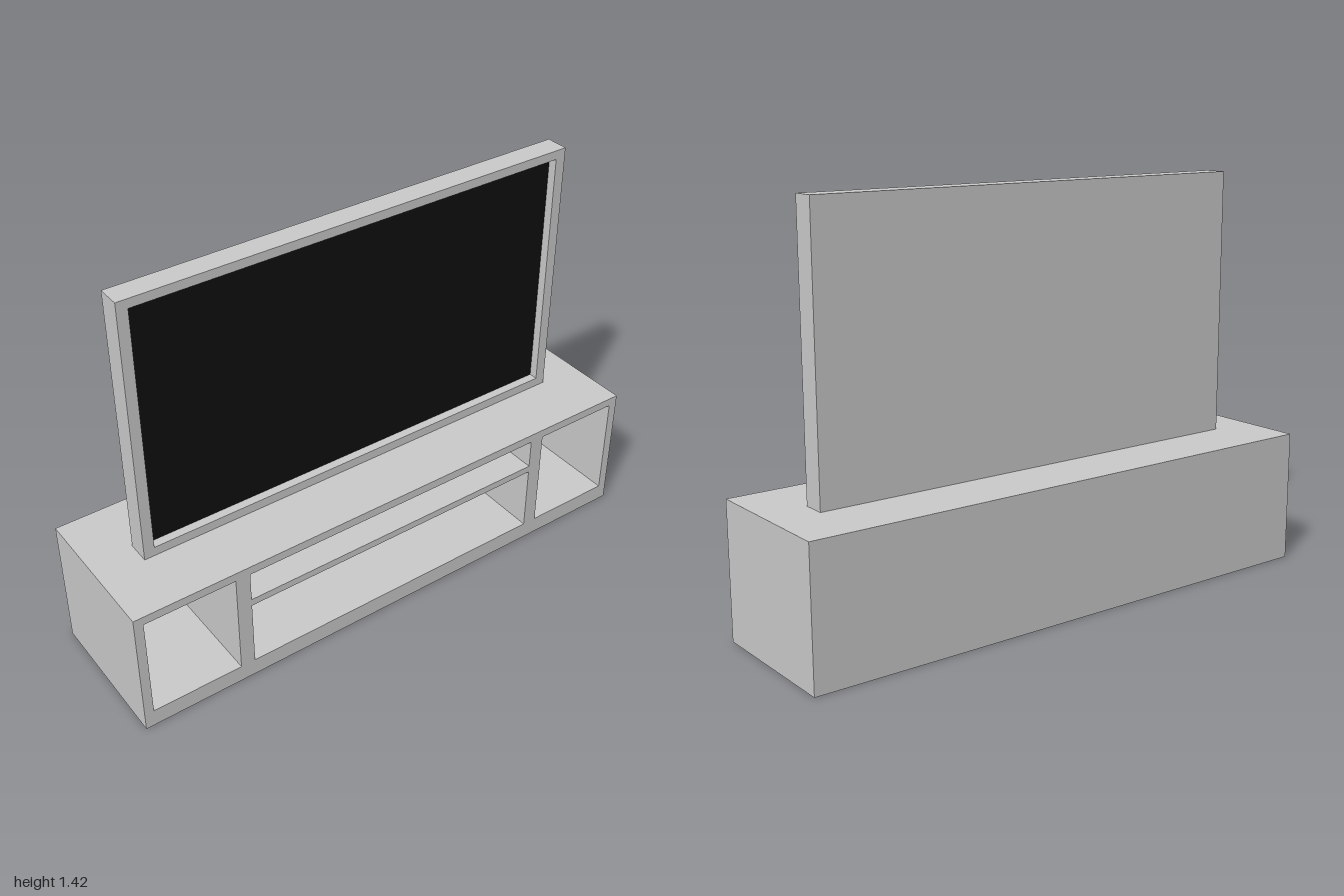
import * as THREE from 'three';

const grey = new THREE.MeshStandardMaterial({ color: 0xcccccc });
const black = new THREE.MeshStandardMaterial({ color: 0x101010 });

// Rectangle outline from its edges
function rect(Type, x0, x1, y0, y1) {
  const p = new Type();
  p.moveTo(x0, y0);
  p.lineTo(x1, y0);
  p.lineTo(x1, y1);
  p.lineTo(x0, y1);
  p.closePath();
  return p;
}

// Slab with rectangular openings, running from z0 to z1
function pierced(name, outline, openings, z0, z1) {
  const shape = rect(THREE.Shape, ...outline);
  shape.holes = openings.map((o) => rect(THREE.Path, ...o));
  const geo = new THREE.ExtrudeGeometry(shape, { depth: z1 - z0, bevelEnabled: false });
  geo.translate(0, 0, z0);
  const mesh = new THREE.Mesh(geo, grey);
  mesh.name = name;
  return mesh;
}

// Plain box from its edges
function block(name, [x0, x1, y0, y1], z0, z1, material = grey) {
  const mesh = new THREE.Mesh(new THREE.BoxGeometry(x1 - x0, y1 - y0, z1 - z0), material);
  mesh.position.set((x0 + x1) / 2, (y0 + y1) / 2, (z0 + z1) / 2);
  mesh.name = name;
  return mesh;
}

export function createModel() {
  const model = new THREE.Group();
  model.name = 'televisionOnCabinet';

  // Low cabinet: four open compartments closed by a back panel
  const cabinet = new THREE.Group();
  cabinet.name = 'cabinet';
  const body = [-1, 1, 0, 0.474];
  const compartments = [
    [-0.967, -0.64, 0.063, 0.443],
    [0.64, 0.967, 0.063, 0.443],
    [-0.587, 0.587, 0.063, 0.309],
    [-0.587, 0.587, 0.335, 0.443],
  ];
  cabinet.add(pierced('cabinetShelving', body, compartments, -0.185, 0.262));
  cabinet.add(block('cabinetBack', body, -0.262, -0.185));

  // Television: raised bezel around a recessed screen, solid back
  const television = new THREE.Group();
  television.name = 'television';
  const casing = [-0.838, 0.838, 0.474, 1.424];
  const opening = [-0.8, 0.8, 0.507, 1.392];
  television.add(pierced('bezel', casing, [opening], 0.004, 0.04));
  television.add(block('televisionBack', casing, -0.042, 0.004));
  television.add(block('screen', opening, 0.002, 0.008, black));

  model.add(cabinet, television);
  return model;
}
